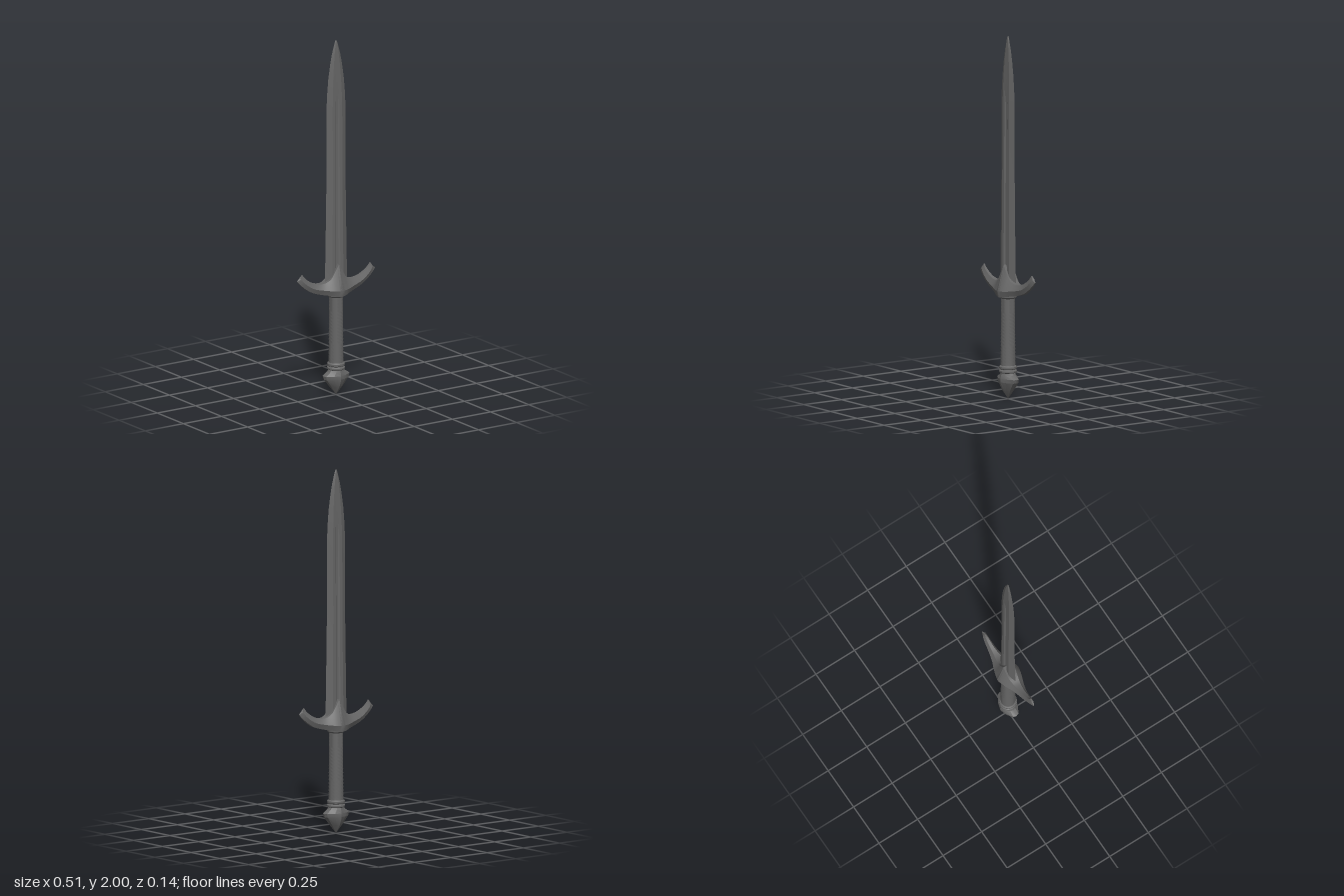
import * as THREE from 'three';
import { toCreasedNormals } from 'three/addons/utils/BufferGeometryUtils.js';

const metal = new THREE.MeshStandardMaterial({ color: 0x666666 });

function part(name, geometry) {
  const mesh = new THREE.Mesh(geometry, metal);
  mesh.name = name;
  return mesh;
}

// Skin closed rings of [x, y, z]; ends close onto the ring centre or a given tip.
function loft(rings, crease, startTip, endTip) {
  const n = rings[0].length;
  const centre = (r) => [0, 1, 2].map((k) => r.reduce((s, p) => s + p[k], 0) / n);
  const first = rings[0], last = rings[rings.length - 1];
  const a = startTip || centre(first), b = endTip || centre(last);
  const tris = [];
  for (let j = 0; j < n; j++) {
    const k = (j + 1) % n;
    tris.push([a, first[k], first[j]], [b, last[j], last[k]]);
    for (let i = 0; i < rings.length - 1; i++) {
      const p = rings[i], q = rings[i + 1];
      tris.push([p[j], p[k], q[k]], [p[j], q[k], q[j]]);
    }
  }
  // A negative enclosed volume means the winding faces inward
  let volume = 0;
  for (const [p, q, r] of tris) {
    volume += p[0] * (q[1] * r[2] - q[2] * r[1])
      + p[1] * (q[2] * r[0] - q[0] * r[2]) + p[2] * (q[0] * r[1] - q[1] * r[0]);
  }
  if (volume < 0) tris.forEach((t) => t.reverse());
  const g = new THREE.BufferGeometry();
  g.setAttribute('position', new THREE.Float32BufferAttribute(tris.flat(2), 3));
  return toCreasedNormals(g, crease);
}

// Mirror a quarter outline (from +x edge to +z middle) into a full ring
function ring(y, quarter) {
  const half = [...quarter, ...quarter.slice(0, -1).reverse().map(([x, z]) => [-x, z])];
  const back = half.slice(1, -1).reverse().map(([x, z]) => [x, -z]);
  return [...half, ...back].map(([x, z]) => [x, y, z]);
}

// Bevelled blade with a shallow central fuller
function blade() {
  const stations = [ // y, half width, half thickness
    [0.6, 0.075, 0.02], [0.72, 0.071, 0.019], [1.0, 0.066, 0.017], [1.2, 0.063, 0.016],
    [1.45, 0.063, 0.015], [1.62, 0.062, 0.014], [1.7, 0.058, 0.013], [1.78, 0.051, 0.011],
    [1.86, 0.039, 0.009], [1.92, 0.027, 0.007], [1.97, 0.013, 0.005], [1.99, 0.006, 0.003],
  ];
  const rings = stations.map(([y, w, t]) => {
    const depth = y < 1.7 ? 0.65 : 0.95;
    return ring(y, [[w, 0], [0.5 * w, t], [0.22 * w, t], [0.1 * w, depth * t], [0, depth * t]]);
  });
  return part('blade', loft(rings, 0.3, null, [0, 2, 0]));
}

// Curved crossguard skinned over bottom, side and top rails
function guard() {
  const rail = (points) => new THREE.CatmullRomCurve3(points.map((p) => new THREE.Vector3(...p)));
  const rails = [
    rail([[0, 0.565, 0.062], [0.03, 0.568, 0.054], [0.06, 0.575, 0.042], [0.11, 0.584, 0.022],
      [0.16, 0.6, 0.013], [0.205, 0.628, 0.009], [0.235, 0.654, 0.006], [0.255, 0.675, 0.002]]),
    rail([[0, 0.6, 0.069], [0.03, 0.6, 0.062], [0.058, 0.603, 0.053], [0.102, 0.61, 0.036],
      [0.152, 0.622, 0.024], [0.196, 0.648, 0.018], [0.222, 0.672, 0.014], [0.235, 0.69, 0.009]]),
    rail([[0, 0.74, 0.03], [0.025, 0.7, 0.029], [0.05, 0.662, 0.026], [0.09, 0.642, 0.018],
      [0.14, 0.648, 0.011], [0.185, 0.671, 0.008], [0.21, 0.692, 0.006], [0.222, 0.71, 0.003]]),
  ];
  const rings = [], steps = 21;
  for (let i = -steps; i <= steps; i++) {
    const side = Math.sign(i);
    const pts = rails.map((r) => r.getPoint(Math.abs(i) / steps));
    rings.push([
      ...pts.map((p) => [side * p.x, p.y, p.z]),
      ...pts.reverse().map((p) => [side * p.x, p.y, -p.z]),
    ]);
  }
  return part('crossguard', loft(rings, 0.5, [-0.23, 0.685, 0], [0.23, 0.685, 0]));
}

function lathe(name, profile, crease) {
  const g = new THREE.LatheGeometry(profile.map((p) => new THREE.Vector2(...p)), 24);
  return part(name, toCreasedNormals(g, crease));
}

// Wrapped grip: fine ridges on a gently tapering core
function grip() {
  const profile = [[0, 0.18]], turns = 20;
  for (let i = 0; i <= turns * 2; i++) {
    const t = i / (turns * 2);
    profile.push([0.041 - 0.003 * t - (i % 2 ? 0.0015 : 0), 0.18 + 0.385 * t]);
  }
  profile.push([0, 0.565]);
  return lathe('grip', profile, 0.8);
}

// Faceted pommel, wide across the blade and pointed below
function pommel() {
  const stations = [ // y, half width x, half depth z
    [0.012, 0.009, 0.007], [0.05, 0.04, 0.034], [0.095, 0.077, 0.05],
    [0.115, 0.083, 0.05], [0.135, 0.052, 0.045], [0.155, 0.04, 0.04],
  ];
  const rings = stations.map(([y, a, c]) =>
    ring(y, [[a, 0], [0.92 * a, 0.35 * c], [0.45 * a, 0.8 * c], [0, c]]));
  return part('pommel', loft(rings, 0.35, [0, 0, 0], null));
}

export function createModel() {
  const sword = new THREE.Group();
  sword.name = 'sword';
  sword.add(
    blade(),
    guard(),
    lathe('upperCollar', [[0, 0.555], [0.042, 0.555], [0.048, 0.562], [0.05, 0.582], [0, 0.582]], 0.6),
    grip(),
    lathe('lowerCollar', [[0, 0.145], [0.043, 0.145], [0.049, 0.15], [0.049, 0.158], [0.043, 0.163],
      [0.043, 0.166], [0.048, 0.17], [0.048, 0.18], [0.042, 0.186], [0, 0.186]], 0.6),
    pommel(),
  );
  return sword;
}
